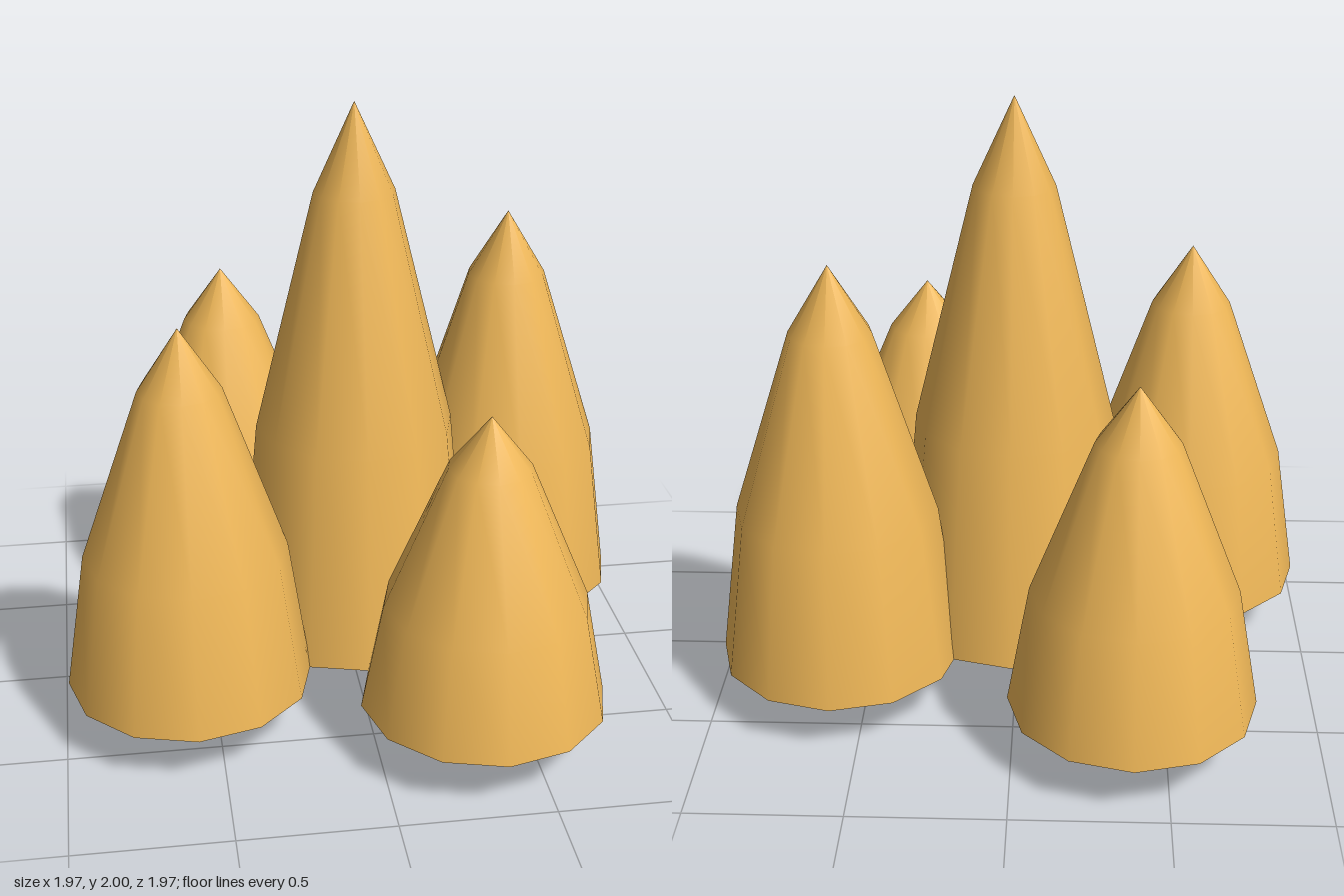
import * as THREE from 'three';

// One twelve-sided spike: a tapering side and a shallow pointed underside
function createSpike(name, x, z, height, material) {
  const rim = 0.17;
  const profile = (points) => new THREE.LatheGeometry(points.map(([r, y]) => new THREE.Vector2(r, y)), 12);

  const side = new THREE.Mesh(profile([
    [0.4, rim],
    [0.33, height * 0.454],
    [0.133, height * 0.855],
    [0, height],
  ]), material);
  side.name = 'spikeSide';

  // Separate part so the rim stays sharp
  const underside = new THREE.Mesh(profile([[0, 0], [0.4, rim]]), material);
  underside.name = 'spikeUnderside';

  const spike = new THREE.Group();
  spike.name = name;
  spike.position.set(x, 0, z);
  spike.add(side, underside);
  return spike;
}

export function createModel() {
  const model = new THREE.Group();
  model.name = 'spikeCluster';
  const material = new THREE.MeshStandardMaterial({ color: 0xf0b858 });

  // Name, x, z, height: a tall centre spike ringed by four shorter ones
  const spikes = [
    ['centreSpike', 0.01, -0.015, 2.0],
    ['rightSpike', -0.585, 0.315, 1.4],
    ['leftSpike', 0.58, -0.285, 1.53],
    ['frontSpike', 0.345, 0.585, 1.165],
    ['backSpike', -0.385, -0.585, 1.265],
  ];
  for (const [name, x, z, height] of spikes) model.add(createSpike(name, x, z, height, material));
  return model;
}
